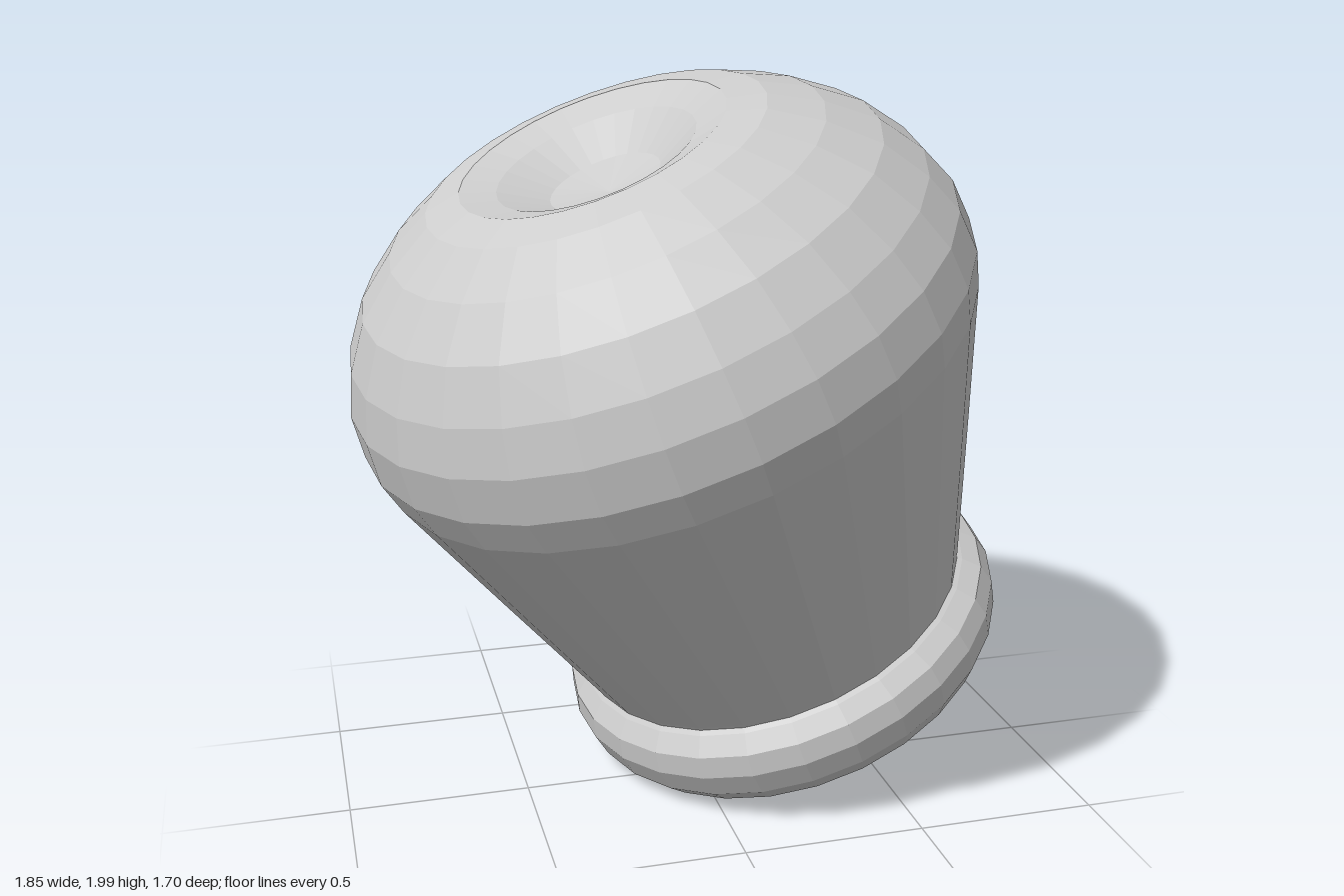
import * as THREE from 'three';

const SEGMENTS = 28;

// Revolve a [radius, height] profile around the local y axis.
function lathePart(name, profile, material) {
  const points = profile.map(([r, y]) => new THREE.Vector2(r, y));
  const mesh = new THREE.Mesh(new THREE.LatheGeometry(points, SEGMENTS), material);
  mesh.name = name;
  return mesh;
}

export function createModel() {
  const model = new THREE.Group();
  model.name = 'tiltedKnob';
  const material = new THREE.MeshStandardMaterial({ color: 0xcccccc, flatShading: true });

  // Everything shares one leaning axis through the centre of the base ring.
  const knob = new THREE.Group();
  knob.name = 'knob';
  const axis = new THREE.Vector3(-0.375, 0.911, 0.17).normalize();
  knob.quaternion.setFromUnitVectors(new THREE.Vector3(0, 1, 0), axis);
  knob.position.set(0.305, 0.335, -0.18);
  model.add(knob);

  // Flared body with a rounded shoulder and a shallow dimple on top.
  knob.add(lathePart('body', [
    [0.55, 0.04], [0.58, 0.15], [0.72, 0.6], [0.84, 0.99], [0.86, 1.09],
    [0.845, 1.21], [0.795, 1.32], [0.71, 1.435], [0.59, 1.53], [0.46, 1.6],
    [0.36, 1.622], [0.27, 1.59], [0.15, 1.52], [0, 1.49],
  ], material));

  // Rounded collar around the foot.
  knob.add(lathePart('baseRing', [
    [0.49, -0.08], [0.54, -0.125], [0.6, -0.105], [0.64, -0.045],
    [0.652, 0.03], [0.635, 0.09], [0.59, 0.13], [0.56, 0.15],
  ], material));

  // Flat underside, slightly recessed into the collar.
  const underside = new THREE.Mesh(new THREE.CircleGeometry(0.5, SEGMENTS), material);
  underside.name = 'underside';
  underside.rotation.x = Math.PI / 2;
  underside.position.y = -0.085;
  knob.add(underside);

  return model;
}
